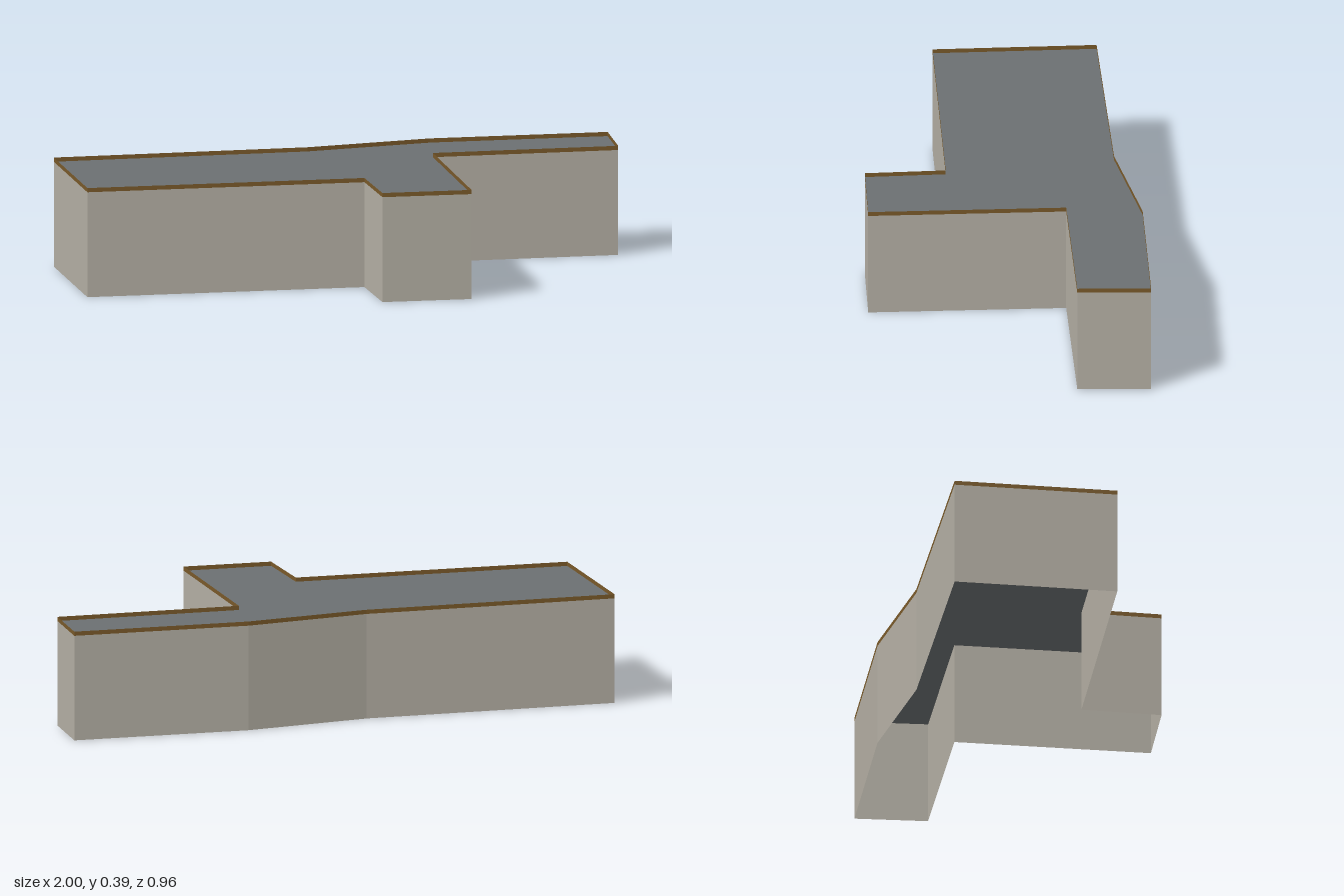
import * as THREE from 'three';

// Building outline as [x, z], starting at the back corner of the wide wing
const OUTLINE = [
  [-1, -0.406], [-0.09, -0.41], [0.365, -0.482], [1, -0.472], [0.984, -0.213],
  [0.32, -0.216], [0.313, 0.48], [-0.005, 0.472], [-0.01, 0.187], [-1, 0.171],
];
const ROOF_Y = 0.375;
const TOP_Y = 0.39;

const material = (name, color) => {
  const m = new THREE.MeshStandardMaterial({ color, side: THREE.DoubleSide });
  m.name = name;
  return m;
};

// Vertical strip of flat faces following the outline between two heights
function outlineStrip(y0, y1) {
  const positions = [];
  OUTLINE.forEach(([ax, az], i) => {
    const [bx, bz] = OUTLINE[(i + 1) % OUTLINE.length];
    positions.push(
      ax, y0, az, ax, y1, az, bx, y1, bz,
      ax, y0, az, bx, y1, bz, bx, y0, bz,
    );
  });
  const g = new THREE.BufferGeometry();
  g.setAttribute('position', new THREE.Float32BufferAttribute(positions, 3));
  g.computeVertexNormals();
  return g;
}

export function createModel() {
  const group = new THREE.Group();
  group.name = 'building';
  const add = (name, geometry, mat) => {
    const mesh = new THREE.Mesh(geometry, mat);
    mesh.name = name;
    group.add(mesh);
    return mesh;
  };

  // Outer walls, open underneath
  add('walls', outlineStrip(0, ROOF_Y), material('warm grey wall', 0xb5b0a5));

  // Thin raised rim around the roof
  add('roofRim', outlineStrip(ROOF_Y, TOP_Y), material('brown rim', 0x7a5a2a));

  // Flat roof at the foot of the rim
  const shape = new THREE.Shape(OUTLINE.map(([x, z]) => new THREE.Vector2(x, -z)));
  const roof = new THREE.ShapeGeometry(shape).rotateX(-Math.PI / 2);
  add('roof', roof, material('slate grey roof', 0x6b7072)).position.y = ROOF_Y;

  return group;
}
